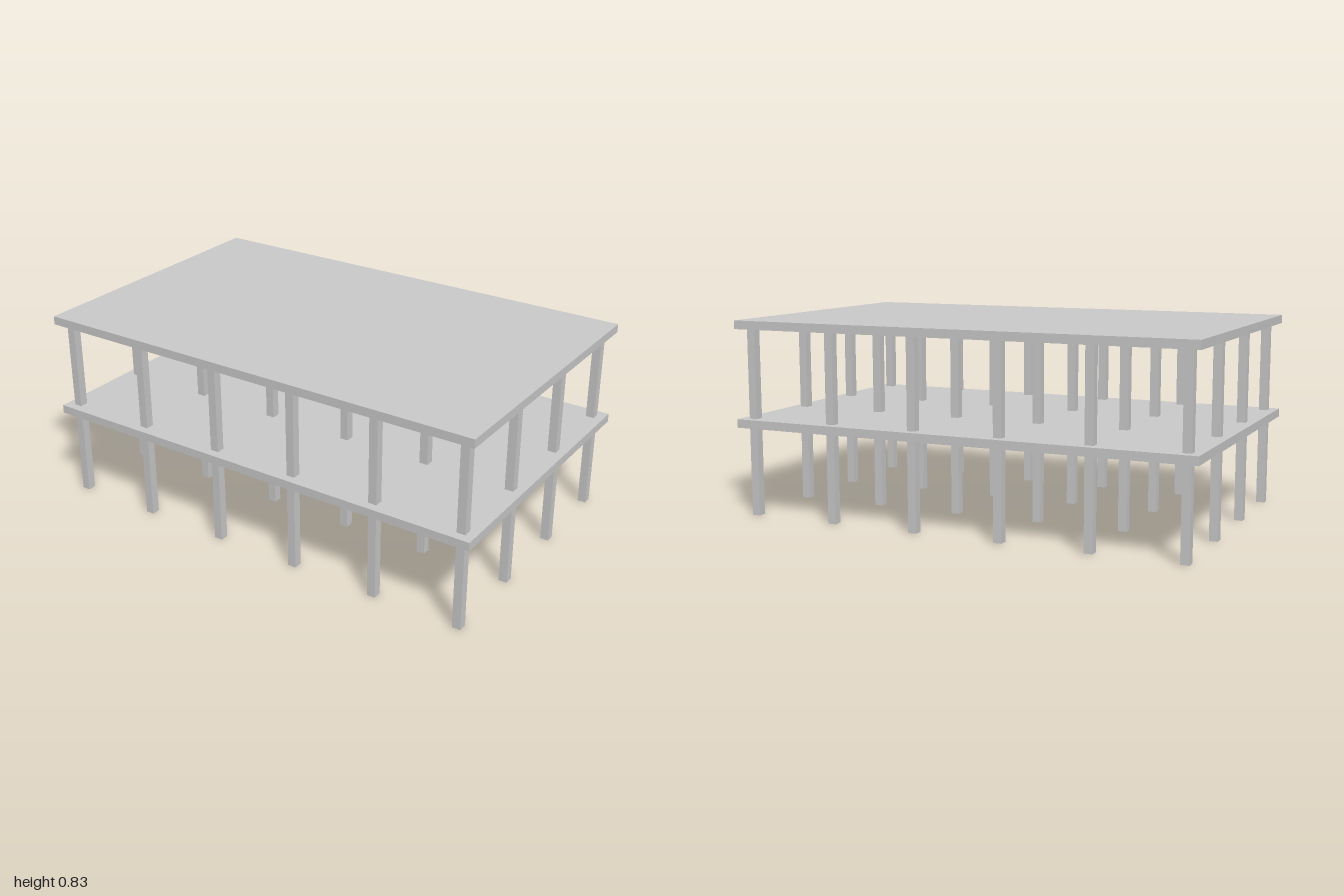
import * as THREE from 'three';

export function createModel() {
  const model = new THREE.Group();
  model.name = 'twoStoreyFrame';
  const material = new THREE.MeshStandardMaterial({ color: 0xcccccc, flatShading: true });

  const storey = 0.415, slabThickness = 0.036, columnWidth = 0.036;
  const columnHeight = storey - slabThickness;
  const spacing = 0.378, columnsX = 6, columnsZ = 4;

  const slabGeometry = new THREE.BoxGeometry(2, slabThickness, 1.244);
  const columnGeometry = new THREE.BoxGeometry(columnWidth, columnHeight, columnWidth);

  function addMesh(parent, name, geometry, x, y, z) {
    const mesh = new THREE.Mesh(geometry, material);
    mesh.name = name;
    mesh.position.set(x, y, z);
    parent.add(mesh);
  }

  // Each storey: a grid of square columns carrying a flat slab
  ['lower', 'upper'].forEach((level, i) => {
    const floor = new THREE.Group();
    floor.name = level + 'Storey';
    floor.position.y = i * storey;
    for (let ix = 0; ix < columnsX; ix++) {
      for (let iz = 0; iz < columnsZ; iz++) {
        const x = (ix - (columnsX - 1) / 2) * spacing;
        const z = (iz - (columnsZ - 1) / 2) * spacing;
        addMesh(floor, 'column', columnGeometry, x, columnHeight / 2, z);
      }
    }
    addMesh(floor, i ? 'roofSlab' : 'floorSlab', slabGeometry, 0, storey - slabThickness / 2, 0);
    model.add(floor);
  });

  return model;
}
